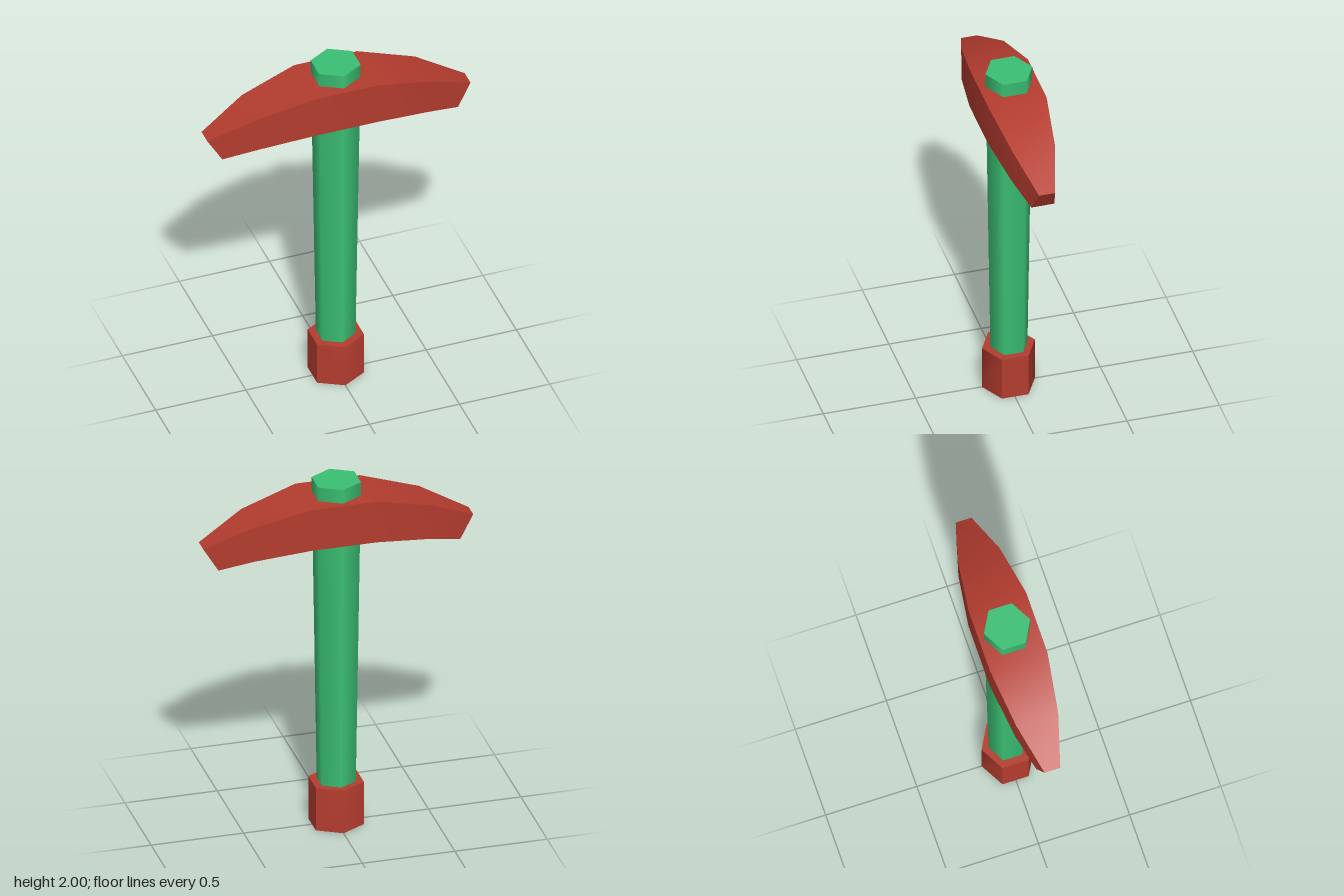
import * as THREE from 'three';
import { toCreasedNormals } from 'three/addons/utils/BufferGeometryUtils.js';

const red = new THREE.MeshStandardMaterial({ name: 'red', color: 0xb43c2f });
const green = new THREE.MeshStandardMaterial({ name: 'green', color: 0x3bc074 });

function part(name, geometry, material) {
  const mesh = new THREE.Mesh(geometry, material);
  mesh.name = name;
  return mesh;
}

// Six-sided post between two heights, a little deeper than wide
function hexPost(topRadius, bottomRadius, y0, y1) {
  const geometry = new THREE.CylinderGeometry(topRadius, bottomRadius, y1 - y0, 6);
  geometry.scale(1.05, 1, 1);
  geometry.translate(0, (y0 + y1) / 2, 0);
  return geometry;
}

// Curved head: four-cornered sections swept from one tip to the other
function headGeometry() {
  // top x, top y, top half depth, bottom x, bottom y, bottom half depth
  const half = [
    [0.175, 1.92, 0.158, 0.175, 1.683, 0.158],
    [0.48, 1.836, 0.115, 0.47, 1.64, 0.115],
    [0.73, 1.712, 0.043, 0.654, 1.588, 0.063],
  ];
  const mirrored = half.map(([tx, ty, tz, bx, by, bz]) => [-tx, ty, tz, -bx, by, bz]).reverse();
  const stations = [...mirrored, ...half];
  const positions = [];
  const index = [];
  stations.forEach(([tx, ty, tz, bx, by, bz], s) => {
    positions.push(tx, ty, tz, tx, ty, -tz, bx, by, -bz, bx, by, bz);
    if (s === 0) return;
    for (let c = 0; c < 4; c++) {
      const a = (s - 1) * 4 + c;
      const b = (s - 1) * 4 + (c + 1) % 4;
      index.push(a, a + 4, b, b, a + 4, b + 4);
    }
  });
  // Blunt tips
  const e = (stations.length - 1) * 4;
  index.push(0, 1, 2, 0, 2, 3, e, e + 2, e + 1, e, e + 3, e + 2);
  const geometry = new THREE.BufferGeometry();
  geometry.setAttribute('position', new THREE.Float32BufferAttribute(positions, 3));
  geometry.setIndex(index);
  return toCreasedNormals(geometry, Math.PI / 3);
}

export function createModel() {
  const model = new THREE.Group();
  model.name = 'pickaxe';

  // Shaft, widening towards the head and poking out above it
  const shaft = part('shaft', hexPost(0.127, 0.1, 0.2, 2), green);
  shaft.position.z = -0.005;

  // Faceted grip cap at the foot
  const pommel = part('pommel', toCreasedNormals(hexPost(0.143, 0.143, 0, 0.247), Math.PI / 3), red);
  pommel.position.z = -0.002;

  model.add(shaft, pommel, part('head', headGeometry(), red));
  return model;
}
